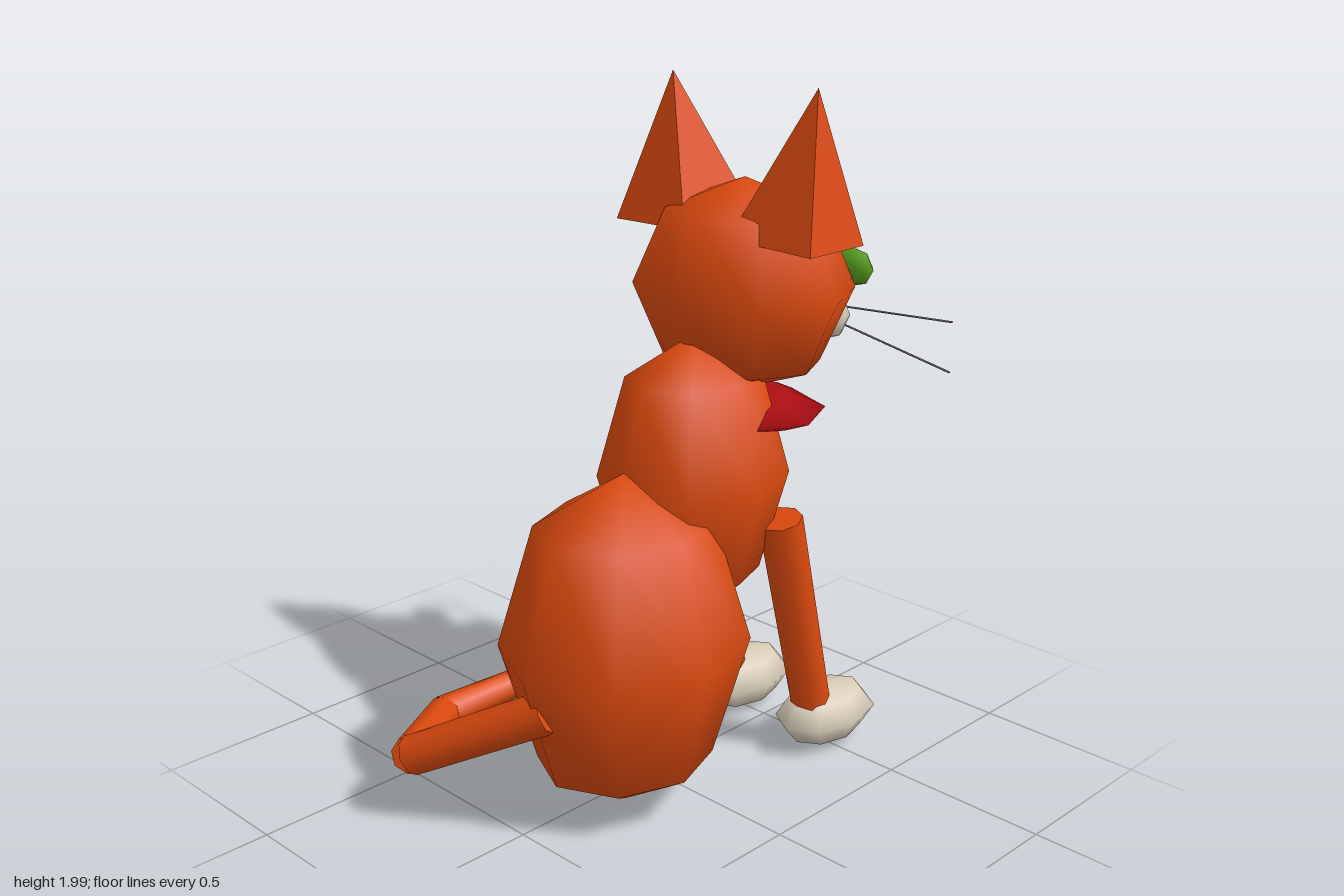
import * as THREE from 'three';
import { ConvexGeometry } from 'three/addons/geometries/ConvexGeometry.js';

const mat = (name, color, extra = {}) => {
  const m = new THREE.MeshStandardMaterial({ color, ...extra });
  m.name = name;
  return m;
};

export function createModel() {
  const cat = new THREE.Group();
  cat.name = 'cat';
  const fur = mat('orange fur', 0xdb490f);
  const cream = mat('cream', 0xd8ccb8);
  const red = mat('collar red', 0xac0e13);
  const green = mat('eye green', 0x569a1e);
  const black = mat('pupil black', 0x0a0a0a);
  const pink = mat('pink', 0xd04c88);
  const grey = mat('whisker grey', 0x77746c);

  const MID = 0.06; // the body's mirror plane
  const V = (x, y, z) => new THREE.Vector3(x, y, z);
  const add = (name, geometry, material) => {
    const mesh = new THREE.Mesh(geometry, material);
    mesh.name = name;
    cat.add(mesh);
    return mesh;
  };

  // Coarse ellipsoid; x is measured from the mirror plane
  const ball = new THREE.SphereGeometry(1, 8, 4);
  const blob = (name, material, [x, y, z], radii) => {
    const mesh = add(name, ball, material);
    mesh.position.set(MID + x, y, z);
    mesh.scale.set(...radii);
  };

  // Tapered rod between two points
  const rod = (name, material, a, b, ra, rb, sides = 8) => {
    const dir = b.clone().sub(a);
    const mesh = add(name, new THREE.CylinderGeometry(rb, ra, dir.length(), sides), material);
    mesh.position.copy(a).add(b).multiplyScalar(0.5);
    mesh.quaternion.setFromUnitVectors(V(0, 1, 0), dir.normalize());
  };

  // Body, chest, head and collar
  blob('body', fur, [0, 0.505, 0.165], [0.328, 0.495, 0.372]);
  blob('chest', fur, [0, 0.93, -0.105], [0.25, 0.405, 0.288]);
  blob('head', fur, [0, 1.437, -0.3], [0.332, 0.3, 0.283]);
  blob('collar', red, [0, 1.088, -0.29], [0.257, 0.045, 0.23]);
  blob('nose', pink, [0, 1.367, -0.618], [0.04, 0.025, 0.021]);

  for (const s of [-1, 1]) {
    const side = s > 0 ? 'left' : 'right';
    const P = (x, y, z) => V(MID + s * x, y, z);

    // Front leg and paw
    rod(side + 'FrontLeg', fur, P(0.17, 0.79, -0.285), P(0.17, 0.14, -0.45), 0.064, 0.058);
    blob(side + 'Paw', cream, [s * 0.17, 0.104, -0.517], [0.122, 0.088, 0.183]);

    // Ear pyramid with a pink wedge on its face
    add(side + 'Ear', new ConvexGeometry([
      P(0.26, 2.0, -0.285),
      P(0.355, 1.59, -0.375), P(0.355, 1.59, -0.158),
      P(0.08, 1.6, -0.436), P(0.08, 1.6, -0.146),
    ]), fur);
    add(side + 'InnerEar', new ConvexGeometry([
      P(0.23, 1.88, -0.325), P(0.3, 1.655, -0.382),
      P(0.145, 1.655, -0.44), P(0.22, 1.68, -0.34),
    ]), pink);

    // Eye, pupil and cheek
    blob(side + 'Eye', green, [s * 0.19, 1.48, -0.532], [0.08, 0.056, 0.04]);
    blob(side + 'Pupil', black, [s * 0.19, 1.478, -0.559], [0.022, 0.048, 0.022]);
    blob(side + 'Cheek', cream, [s * 0.085, 1.32, -0.55], [0.085, 0.073, 0.065]);

    // Whiskers
    rod(side + 'UpperWhisker', grey, P(0.08, 1.335, -0.608), P(0.495, 1.366, -0.597), 0.003, 0.003, 5);
    rod(side + 'LowerWhisker', grey, P(0.08, 1.29, -0.608), P(0.495, 1.224, -0.597), 0.003, 0.003, 5);
  }

  // Tail of four tapering joints curling around the right side
  const joints = [
    [V(0.07, 0.4, 0.46), 0.06],
    [V(-0.295, 0.2, 0.65), 0.057],
    [V(-0.5, 0.15, 0.37), 0.053],
    [V(-0.47, 0.17, -0.06), 0.038],
    [V(-0.355, 0.265, -0.237), 0.022],
  ];
  for (let i = 0; i < joints.length - 1; i++) {
    const [a, ra] = joints[i], [b, rb] = joints[i + 1];
    rod('tailJoint' + (i + 1), fur, a, b, ra, rb);
  }
  return cat;
}
